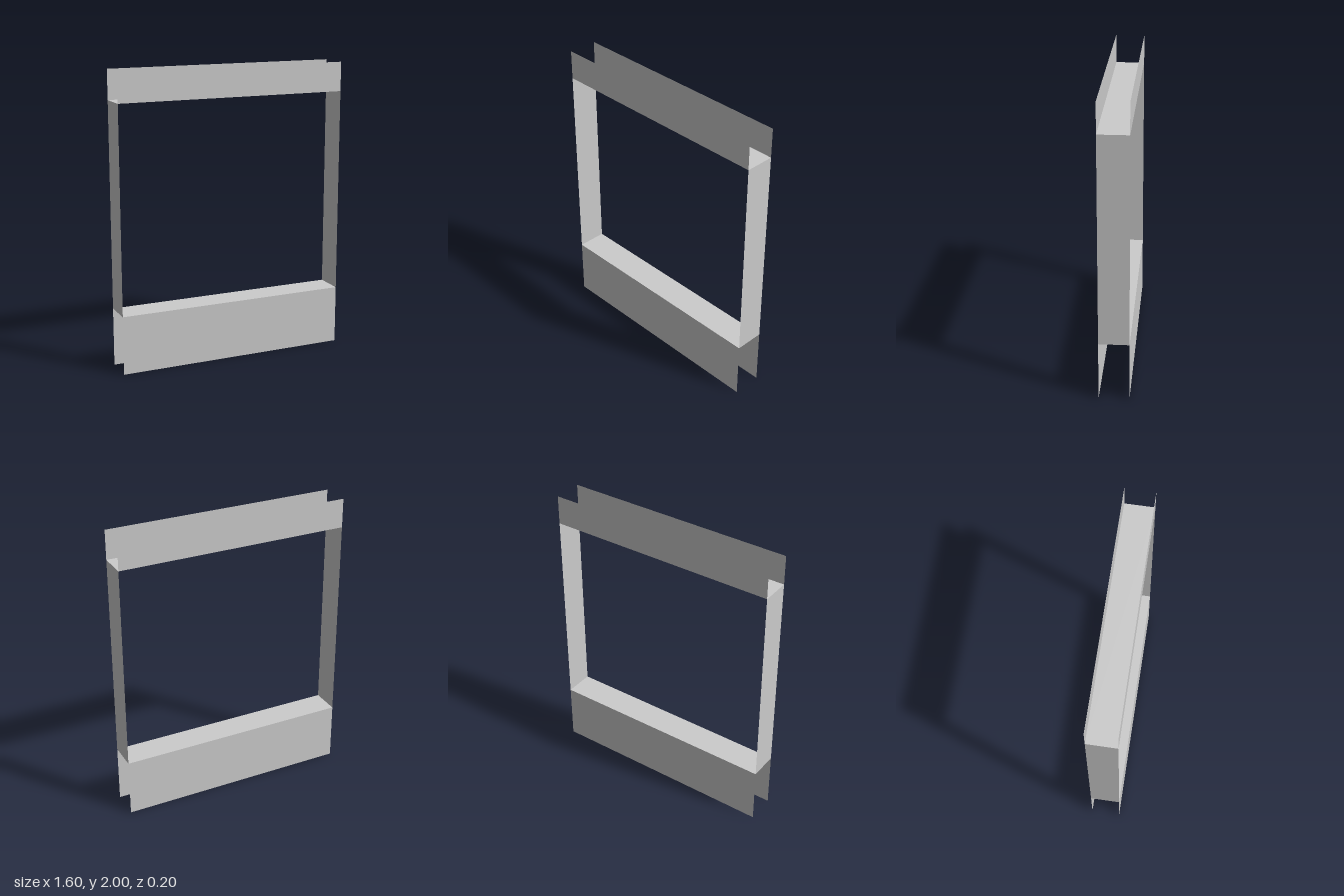
import * as THREE from 'three';

const WIDTH = 1.6, DEPTH = 0.2, HEIGHT = 2;
const SILL = 0.4, HEAD = 1.8; // bottom and top of the opening

export function createModel() {
  const model = new THREE.Group();
  model.name = 'windowWall';
  const material = new THREE.MeshStandardMaterial({ color: 0xcccccc, side: THREE.DoubleSide });

  // One thin sheet, turned about x or y and placed by its centre
  function sheet(name, w, h, [x, y, z], rotX = 0, rotY = 0) {
    const mesh = new THREE.Mesh(new THREE.PlaneGeometry(w, h), material);
    mesh.name = name;
    mesh.position.set(x, y, z);
    mesh.rotation.set(rotX, rotY, 0);
    model.add(mesh);
  }

  // Wall faces below and above the opening, front and back
  for (const [side, s] of [['front', 1], ['back', -1]]) {
    const turn = s > 0 ? 0 : Math.PI;
    sheet(side + 'LowerPanel', WIDTH, SILL, [0, SILL / 2, s * DEPTH / 2], 0, turn);
    sheet(side + 'UpperPanel', WIDTH, HEIGHT - HEAD, [0, (HEAD + HEIGHT) / 2, s * DEPTH / 2], 0, turn);
  }

  // Jambs lining the sides of the opening, facing inward
  for (const [side, s] of [['left', 1], ['right', -1]]) {
    sheet(side + 'Jamb', DEPTH, HEAD - SILL, [s * WIDTH / 2, (SILL + HEAD) / 2, 0], 0, -s * Math.PI / 2);
  }

  // Sill faces up, head faces down
  sheet('sill', WIDTH, DEPTH, [0, SILL, 0], -Math.PI / 2);
  sheet('head', WIDTH, DEPTH, [0, HEAD, 0], Math.PI / 2);

  return model;
}
